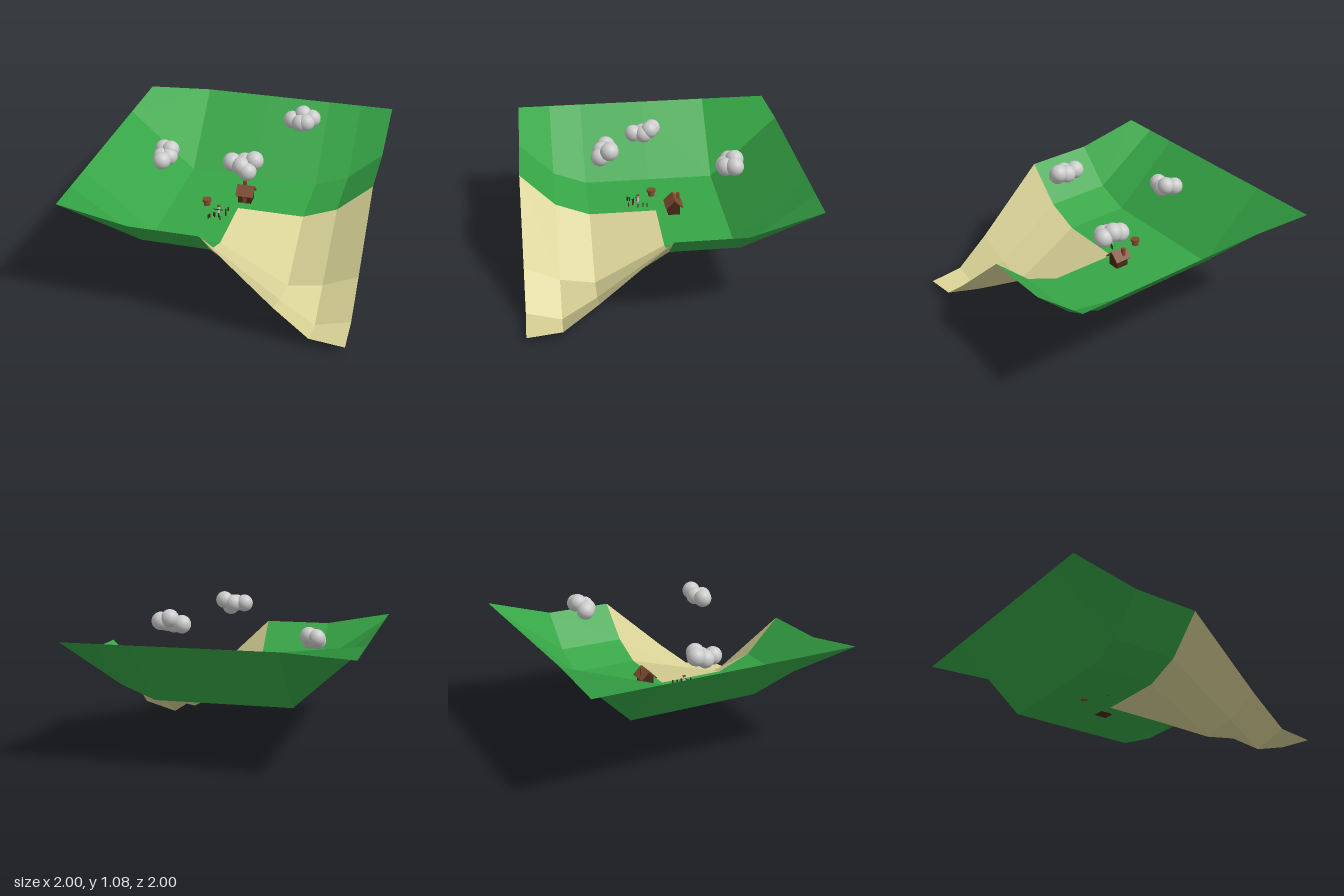
import * as THREE from 'three';

const mat = (color, extra = {}) => new THREE.MeshStandardMaterial({ color, ...extra });

export function createModel() {
  const root = new THREE.Group();
  const grass = mat(0x36a646, { side: THREE.DoubleSide });
  const sand = mat(0xd8d196, { side: THREE.DoubleSide });
  const wood = mat(0x7a4a2c, { flatShading: true });
  const darkWood = mat(0x4a2818, { flatShading: true });
  const grey = mat(0xcccccc);

  const add = (name, geometry, material, x = 0, y = 0, z = 0, parent = root) => {
    const mesh = new THREE.Mesh(geometry, material);
    mesh.name = name;
    mesh.position.set(x, y, z);
    parent.add(mesh);
    return mesh;
  };

  // Terrain: heights on an uneven grid, one row per z, from back to front
  const grid = [-1, -0.5, 0, 0.5, 0.75, 1];
  const heights = [
    [0.855, 0.885, 0.885, 0.885, 0.885, 0.885],
    [0.855, 0.4, 0.4, 0.4, 0.5, 0.73],
    [0.855, 0.4, 0.4, 0.4, 0.5, 0.73],
    [0.855, 0.4, 0.4, 0.12, 0.165, 0.28],
    [0.855, 0.5, 0.5, 0.165, 0.0, 0.073],
    [0.855, 0.76, 0.76, 0.28, 0.07, 0.045],
  ];
  const at = (i, j) => new THREE.Vector3(grid[i], heights[j][i], grid[j]);
  const terrain = (name, material, inValley) => {
    const points = [], normals = [];
    for (let j = 0; j < 5; j++) {
      for (let i = 0; i < 5; i++) {
        if ((i >= 2 && j >= 2) !== inValley) continue;
        const a = at(i, j), b = at(i, j + 1), c = at(i + 1, j + 1), d = at(i + 1, j);
        // One shared normal per patch, from its two diagonals
        const normal = c.clone().sub(a).cross(d.clone().sub(b)).normalize();
        for (const p of [a, b, d, b, c, d]) {
          points.push(...p.toArray());
          normals.push(...normal.toArray());
        }
      }
    }
    const g = new THREE.BufferGeometry();
    g.setAttribute('position', new THREE.Float32BufferAttribute(points, 3));
    g.setAttribute('normal', new THREE.Float32BufferAttribute(normals, 3));
    add(name, g, material);
  };
  terrain('grassLand', grass, false);
  terrain('sandyValley', sand, true);

  // Clouds: clusters of equal balls
  const ball = new THREE.SphereGeometry(0.065, 24, 16);
  const clouds = {
    frontCloud: [[0.055, 0.995, 0.37], [0.14, 0.995, 0.35], [0.21, 1.018, 0.355], [0.13, 0.99, 0.405], [0.175, 0.963, 0.42]],
    backCloud: [[0.3, 0.953, -0.48], [0.38, 0.995, -0.505], [0.45, 0.973, -0.495], [0.37, 0.95, -0.44], [0.415, 0.958, -0.44]],
    leftCloud: [[-0.58, 0.815, -0.035], [-0.52, 0.825, -0.01], [-0.575, 0.785, 0.04], [-0.52, 0.79, 0.035], [-0.55, 0.79, 0.115]],
  };
  for (const [name, puffs] of Object.entries(clouds)) {
    const cloud = new THREE.Group();
    cloud.name = name;
    root.add(cloud);
    puffs.forEach((p) => add('puff', ball, grey, ...p, cloud));
  }

  // Cabin: gabled body, two sloping roof slabs and a chimney
  const cabin = new THREE.Group();
  cabin.name = 'cabin';
  cabin.position.set(0.03, 0.398, -0.128);
  root.add(cabin);
  const gable = new THREE.Shape([[-0.045, 0], [0.045, 0], [0.045, 0.08], [0, 0.125], [-0.045, 0.08]]
    .map(([x, y]) => new THREE.Vector2(x, y)));
  const body = new THREE.ExtrudeGeometry(gable, { depth: 0.1, bevelEnabled: false });
  body.translate(0, 0, -0.05).rotateY(Math.PI / 2);
  add('walls', body, darkWood, 0, 0, 0, cabin);
  for (const s of [-1, 1]) {
    const slab = add('roofSlab', new THREE.BoxGeometry(0.134, 0.01, 0.09), wood, 0, 0.097, s * 0.032, cabin);
    slab.rotation.x = s * Math.PI / 4;
  }
  add('chimney', new THREE.BoxGeometry(0.024, 0.06, 0.024), wood, -0.018, 0.12, -0.034, cabin);
  add('door', new THREE.BoxGeometry(0.028, 0.055, 0.004), wood, 0, 0.029, 0.046, cabin);

  // Round table: thick top on a stem
  add('tableTop', new THREE.CylinderGeometry(0.035, 0.035, 0.016, 20), wood, -0.24, 0.441, 0.008);
  add('tableStem', new THREE.CylinderGeometry(0.022, 0.026, 0.042, 12), wood, -0.24, 0.419, 0.008);

  // Small figure with a hat and outstretched arms
  const figure = new THREE.Group();
  figure.name = 'figure';
  figure.position.set(-0.115, 0.4, 0.125);
  root.add(figure);
  for (const s of [-1, 1]) add('leg', new THREE.CylinderGeometry(0.004, 0.004, 0.03, 8), grey, s * 0.007, 0.015, 0, figure);
  add('torso', new THREE.CylinderGeometry(0.008, 0.011, 0.03, 10), grey, 0, 0.04, 0, figure);
  add('head', new THREE.SphereGeometry(0.01, 12, 8), grey, 0, 0.063, 0, figure);
  add('hat', new THREE.CylinderGeometry(0.012, 0.013, 0.008, 12), wood, 0, 0.074, 0, figure);
  add('arms', new THREE.BoxGeometry(0.07, 0.005, 0.005), darkWood, 0, 0.047, 0.012, figure);

  // Short fence posts scattered around the figure
  const posts = [[-0.175, 0.2], [-0.168, 0.185], [-0.145, 0.155], [-0.135, 0.165], [-0.105, 0.165],
    [-0.085, 0.2], [-0.06, 0.13], [-0.07, 0.09], [-0.06, 0.06]];
  const post = new THREE.BoxGeometry(0.008, 0.032, 0.008);
  posts.forEach(([x, z]) => add('fencePost', post, darkWood, x, 0.416, z));

  return root;
}
